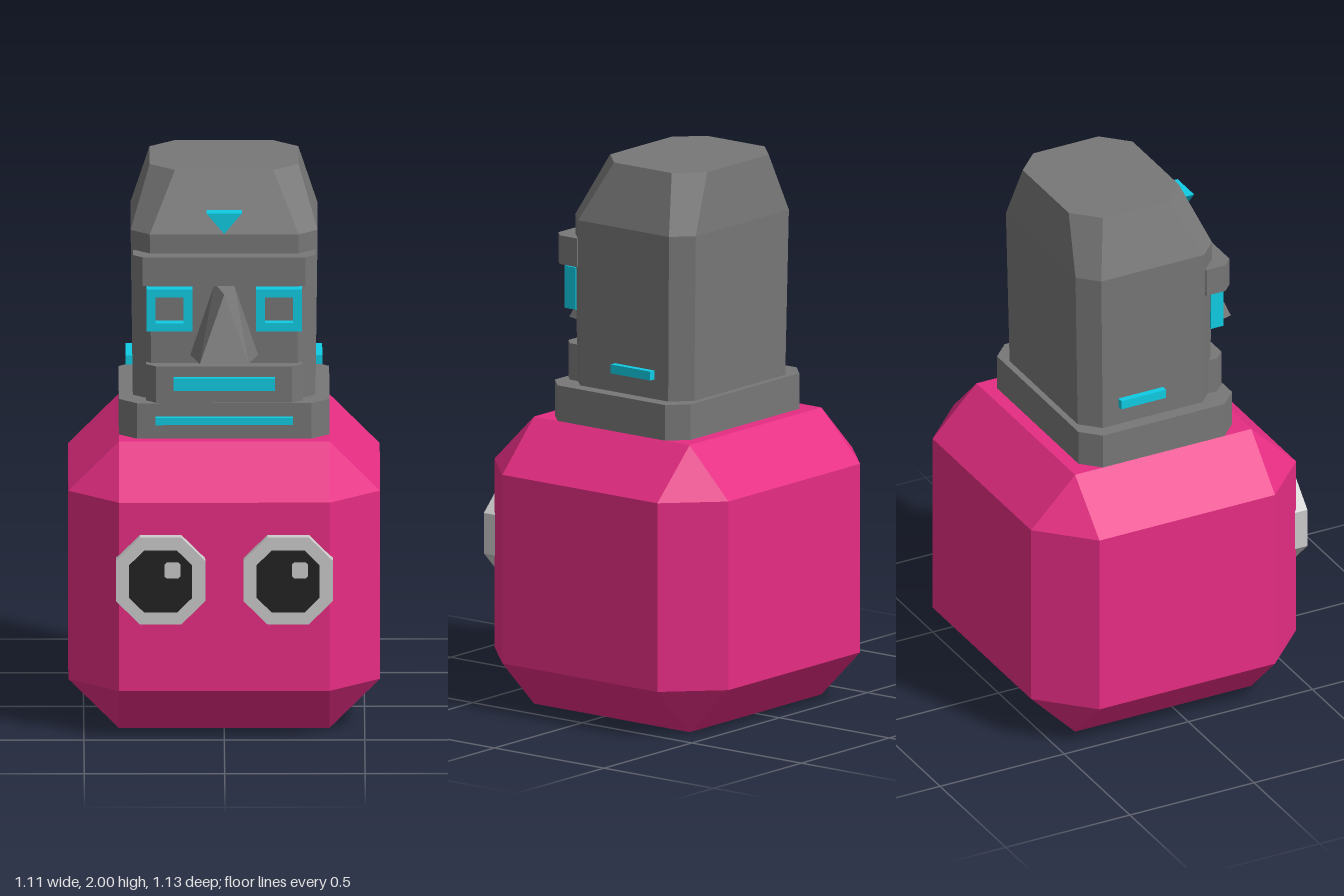
import * as THREE from 'three';
import { ConvexGeometry } from 'three/addons/geometries/ConvexGeometry.js';

const mat = (color) => new THREE.MeshStandardMaterial({ color, flatShading: true });

export function createModel() {
  const group = new THREE.Group();
  const pink = mat(0xe62d83), stone = mat(0x777777), cyan = mat(0x0fcbe3);
  const white = mat(0xcccccc), black = mat(0x222222);

  const add = (name, geometry, material) => {
    const mesh = new THREE.Mesh(geometry, material);
    mesh.name = name;
    group.add(mesh);
    return mesh;
  };
  const hull = (name, points, material) =>
    add(name, new ConvexGeometry(points.map((p) => new THREE.Vector3(...p))), material);

  // Box given by its limits on each axis
  const box = (name, [x0, x1], [y0, y1], [z0, z1], material) =>
    add(name, new THREE.BoxGeometry(x1 - x0, y1 - y0, z1 - z0), material)
      .position.set((x0 + x1) / 2, (y0 + y1) / 2, (z0 + z1) / 2);

  // Horizontal rectangle with cut corners (front cut cf, back cut cb)
  const ring = (y, hx, zb, zf, cf, cb = cf) => [-1, 1].flatMap((s) => {
    const front = [[s * hx, y, zf - cf], [s * (hx - cf), y, zf]];
    const back = cb ? [[s * hx, y, zb + cb], [s * (hx - cb), y, zb]] : [[s * hx, y, zb]];
    return [...front, ...back];
  });

  // Shape in the xy plane pushed from z0 to z1
  const plate = (name, shape, z0, z1, material, x = 0, y = 0) =>
    add(name, new THREE.ExtrudeGeometry(shape, { depth: z1 - z0, bevelEnabled: false }), material)
      .position.set(x, y, z0);
  const poly = (points) => new THREE.Shape(points.map((p) => new THREE.Vector2(...p)));
  const octagon = (h, c) => poly([
    [h, c - h], [h, h - c], [h - c, h], [c - h, h],
    [-h, h - c], [-h, c - h], [c - h, -h], [h - c, -h],
  ]);

  // Chamfered body block
  const rect = (y) => [-0.375, 0.375].flatMap((x) => [[x, y, 0.32], [x, y, -0.39]]);
  hull('body', [
    ...rect(0), ...ring(0.18, 0.555, -0.567, 0.5, 0.18),
    ...ring(0.87, 0.555, -0.567, 0.5, 0.18), ...rect(1.05),
  ], pink);

  // Collar and head
  hull('collar', [...ring(1.05, 0.375, -0.342, 0.277, 0.065), ...ring(1.18, 0.375, -0.342, 0.277, 0.065)], stone);
  hull('head', [
    ...ring(1.17, 0.325, -0.318, 0.215, 0.066),
    ...ring(1.785, 0.333, -0.33, 0.22, 0.068),
    ...ring(2, 0.265, -0.31, 0.133, 0.09),
  ], stone);
  hull('brow', [...ring(1.61, 0.325, 0.165, 0.277, 0.035, 0), ...ring(1.715, 0.325, 0.165, 0.277, 0.035, 0)], stone);
  hull('mouthBlock', [...ring(1.18, 0.278, 0.195, 0.27, 0.036, 0), ...ring(1.313, 0.278, 0.195, 0.27, 0.036, 0)], stone);
  hull('nose', [
    [0, 1.585, 0.305], [-0.035, 1.605, 0.21], [0.035, 1.605, 0.21],
    [-0.087, 1.352, 0.39], [0.087, 1.352, 0.39], [-0.122, 1.342, 0.21], [0.122, 1.342, 0.21],
  ], stone);

  // Bright inlays
  box('mouthStrip', [-0.18, 0.18], [1.23, 1.275], [0.25, 0.295], cyan);
  box('collarStrip', [-0.245, 0.245], [1.105, 1.132], [0.26, 0.3], cyan);
  plate('foreheadTriangle', poly([[-0.063, 1.87], [0, 1.795], [0.063, 1.87]]), 0.205, 0.255, cyan);

  for (const s of [-1, 1]) {
    const side = s > 0 ? 'left' : 'right';
    const x0 = s > 0 ? 0.315 : -0.35;
    box(side + 'CheekStrip', [x0, x0 + 0.035], [1.252, 1.285], [-0.19, -0.01], cyan);

    // Square ring around each head eye
    const frame = poly([[-0.082, -0.077], [0.082, -0.077], [0.082, 0.077], [-0.082, 0.077]]);
    frame.holes.push(poly([[-0.05, -0.047], [-0.05, 0.047], [0.05, 0.047], [0.05, -0.047]]));
    plate(side + 'EyeFrame', frame, 0.21, 0.26, cyan, s * 0.195, 1.516);

    // Large body eye; both highlights sit to the same side
    const x = s * 0.227;
    plate(side + 'BodyEye', octagon(0.159, 0.085), 0.49, 0.54, white, x, 0.593);
    plate(side + 'Pupil', octagon(0.112, 0.054), 0.5, 0.557, black, x, 0.593);
    plate(side + 'Highlight', octagon(0.028, 0.007), 0.53, 0.567, white, x + 0.042, 0.637);
  }
  return group;
}
